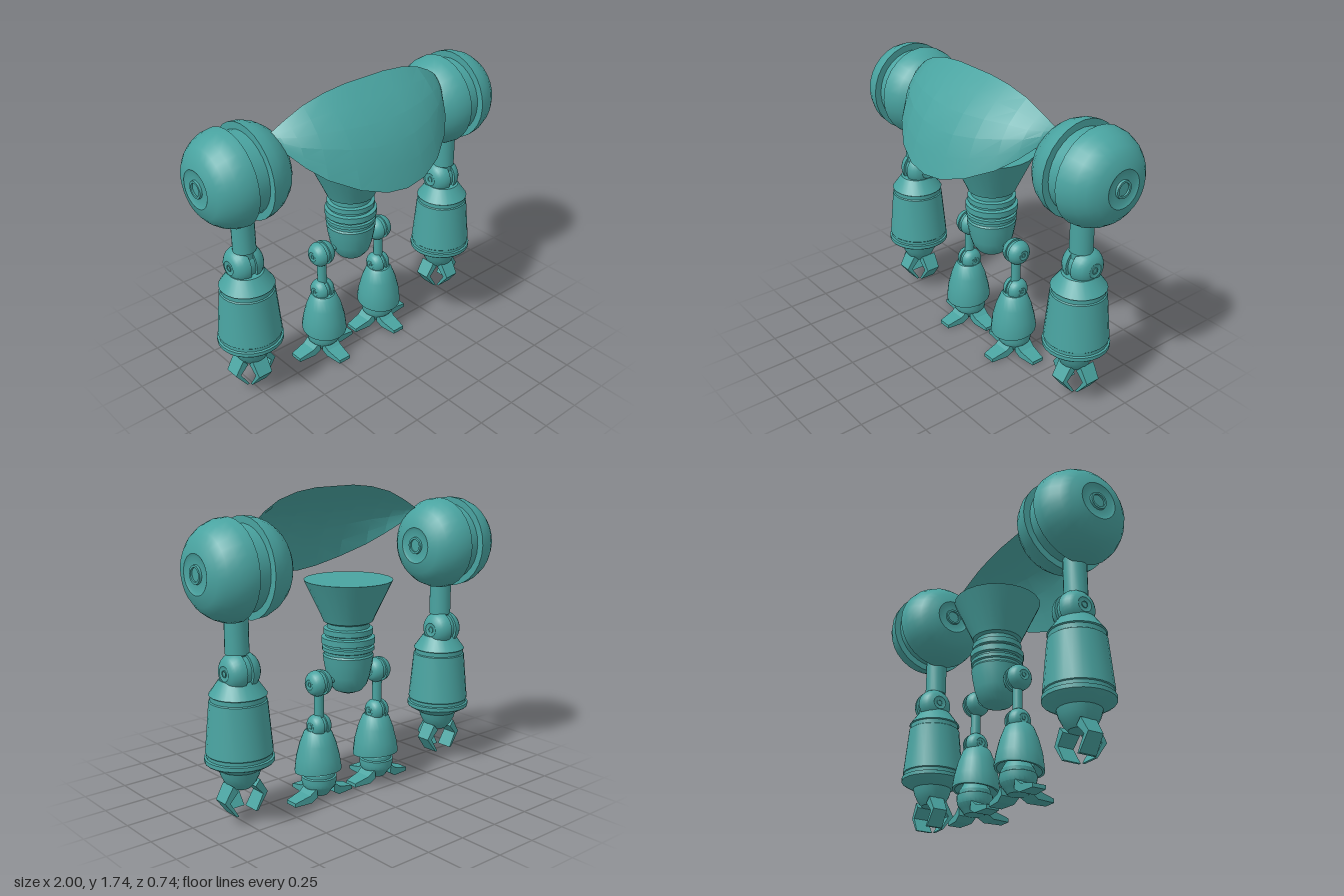
import * as THREE from 'three';
import { toCreasedNormals } from 'three/addons/utils/BufferGeometryUtils.js';

const material = new THREE.MeshStandardMaterial({ color: 0x49a3a0, side: THREE.DoubleSide });

function part(name, geometry, parent, x = 0, y = 0, z = 0) {
  const mesh = new THREE.Mesh(geometry, material);
  mesh.name = name;
  mesh.position.set(x, y, z);
  parent.add(mesh);
  return mesh;
}

// Turned solid; profile is [radius, height] from bottom to top
function turned(profile, segments = 24) {
  const points = profile.map(([r, y]) => new THREE.Vector2(r, y));
  return toCreasedNormals(new THREE.LatheGeometry(points, segments), 0.5);
}

// Grooved ball with a stepped hub at each end, turned about the x axis
function ballJoint(size) {
  const half = [
    [0.228, 0.045], [0.267, 0.045], [0.262, 0.095], [0.24, 0.15], [0.207, 0.195], [0.167, 0.228],
    [0.105, 0.246], [0.09, 0.238], [0.05, 0.238], [0.048, 0.25], [0.036, 0.25], [0.036, 0.24], [0, 0.24],
  ];
  const profile = [...half.map(([r, h]) => [r, -h]).reverse(), ...half];
  return turned(profile, 28).rotateZ(Math.PI / 2).scale(size, size, size);
}

// Flat outline swept sideways, narrowing toward its outer end
function digit(outline, width, taper) {
  const shape = new THREE.Shape(outline.map(([x, y]) => new THREE.Vector2(x, y)));
  const geometry = new THREE.ExtrudeGeometry(shape, { depth: width, bevelEnabled: false });
  geometry.translate(0, 0, -width / 2);
  const p = geometry.attributes.position;
  const reach = Math.max(...outline.map(([x]) => x));
  for (let i = 0; i < p.count; i++) p.setZ(i, p.getZ(i) * (1 - taper * p.getX(i) / reach));
  return toCreasedNormals(geometry, 0.3);
}

// Three digits: outward, forward and inward
function digits(name, geometry, parent, z) {
  for (let i = 0; i < 3; i++) {
    part(name, geometry, parent, 0, 0, z).rotation.y = -Math.PI / 2 * i;
  }
}

function buildTorso() {
  const profile = [
    [0, 0.575], [0.04, 0.578], [0.08, 0.595], [0.108, 0.63], [0.125, 0.68], [0.14, 0.76], [0.145, 0.8],
    [0.138, 0.81], [0.138, 0.825], [0.148, 0.83], [0.148, 0.85], [0.135, 0.855], [0.135, 0.865],
    [0.152, 0.87], [0.152, 0.905], [0.13, 0.91], [0.13, 0.92], [0.14, 0.925], [0.14, 0.955],
    [0.12, 0.96], [0.12, 0.985], [0.14, 0.995], [0.155, 1.03], [0.25, 1.23], [0, 1.23],
  ];
  const torso = new THREE.Group();
  torso.name = 'torso';
  part('waistAndChest', turned(profile), torso, 0, 0, -0.095);
  const axle = new THREE.CylinderGeometry(0.016, 0.016, 0.4, 12).rotateZ(Math.PI / 2);
  part('hipAxle', axle, torso, 0, 0.67, -0.1);
  return torso;
}

// Curved open plate lofted between a top edge and a deeper lower edge
function chestPlate() {
  const edge = (pts) => new THREE.CatmullRomCurve3([
    ...pts.slice(1).reverse().map(([x, y, z]) => new THREE.Vector3(-x, y, z)),
    ...pts.map(([x, y, z]) => new THREE.Vector3(x, y, z)),
  ]);
  const top = edge([[0, 1.735, 0.02], [0.2, 1.73, 0.018], [0.4, 1.685, 0.005], [0.54, 1.61, -0.015], [0.585, 1.575, -0.03]]);
  const low = edge([[0, 1.215, 0.37], [0.2, 1.25, 0.345], [0.42, 1.35, 0.225], [0.53, 1.45, 0.105], [0.6, 1.55, -0.02]]);
  const cols = 12, rows = 5, positions = [], index = [];
  for (let j = 0; j <= rows; j++) {
    for (let i = 0; i <= cols; i++) {
      const u = i / cols, v = j / rows;
      const p = top.getPoint(u).lerp(low.getPoint(u), v);
      const bulge = 0.065 * Math.sin(Math.PI * v) * Math.sin(Math.PI * u);
      positions.push(p.x, p.y + bulge * 0.5, p.z + bulge * 0.85);
      if (i < cols && j < rows) {
        const a = j * (cols + 1) + i, b = a + cols + 1;
        index.push(a, b, a + 1, b, b + 1, a + 1);
      }
    }
  }
  const geometry = new THREE.BufferGeometry();
  geometry.setAttribute('position', new THREE.Float32BufferAttribute(positions, 3));
  geometry.setIndex(index);
  return toCreasedNormals(geometry, 0.2);
}

function buildArm(side) {
  const arm = new THREE.Group();
  arm.name = side > 0 ? 'leftArm' : 'rightArm';
  arm.position.x = 0.75 * side;
  part('shoulder', ballJoint(1), arm, 0, 1.37, -0.107);
  part('upperArm', turned([[0, 0.83], [0.055, 0.83], [0.055, 0.925], [0.064, 0.93], [0.064, 1.15], [0, 1.15]], 20), arm, 0, 0, -0.087);
  part('elbow', ballJoint(0.39), arm, 0, 0.84, -0.105);
  // Forearm shell, cuff and wrist
  const forearm = [
    [0, 0.2], [0.06, 0.2], [0.085, 0.23], [0.105, 0.27], [0.115, 0.305], [0.183, 0.345],
    [0.187, 0.35], [0.187, 0.372], [0.176, 0.376], [0.176, 0.395], [0.181, 0.4],
    [0.155, 0.68], [0.148, 0.685], [0.148, 0.71], [0.155, 0.715], [0.098, 0.795], [0, 0.8],
  ];
  part('forearm', turned(forearm), arm, 0, 0, -0.087);
  const claw = digit([[0.05, 0.2], [0.07, 0.06], [0.055, 0.06], [0.105, 0.145], [0.055, 0.2]]
    .slice(1).concat([[0.085, 0.235], [0.137, 0.15]]), 0.11, 0.2);
  digits('claw', claw, arm, -0.1);
  return arm;
}

function buildLeg(side) {
  const leg = new THREE.Group();
  leg.name = side > 0 ? 'leftLeg' : 'rightLeg';
  leg.position.x = 0.22 * side;
  part('hip', ballJoint(0.275), leg, 0, 0.672, -0.1);
  part('thigh', new THREE.CylinderGeometry(0.028, 0.028, 0.25, 16), leg, 0, 0.55, -0.1);
  part('knee', ballJoint(0.25), leg, 0, 0.425, -0.1);
  // Flared shin with a hollow, sloping lower rim
  const shin = turned([
    [0.075, 0.19], [0.12, 0.155], [0.133, 0.155], [0.134, 0.17], [0.125, 0.24],
    [0.105, 0.32], [0.08, 0.385], [0.066, 0.4], [0, 0.41],
  ]);
  const p = shin.attributes.position;
  for (let i = 0; i < p.count; i++) {
    if (p.getY(i) < 0.2) p.setY(i, p.getY(i) - 0.12 * p.getZ(i));
  }
  part('shin', shin, leg, 0, 0, -0.09);
  part('ankle', turned([
    [0, 0.02], [0.055, 0.02], [0.075, 0.05], [0.095, 0.075], [0.1, 0.1], [0.1, 0.125],
    [0.09, 0.13], [0.09, 0.15], [0.06, 0.2], [0, 0.21],
  ]), leg, 0, 0, -0.098);
  const toe = digit([[0.06, 0.025], [0.1, 0], [0.207, 0], [0.207, 0.022], [0.11, 0.045], [0.065, 0.08]], 0.12, 0.35);
  digits('toe', toe, leg, -0.108);
  return leg;
}

export function createModel() {
  const model = new THREE.Group();
  model.name = 'robot';
  model.add(buildTorso());
  part('chestPlate', chestPlate(), model);
  for (const side of [1, -1]) model.add(buildArm(side), buildLeg(side));
  return model;
}
